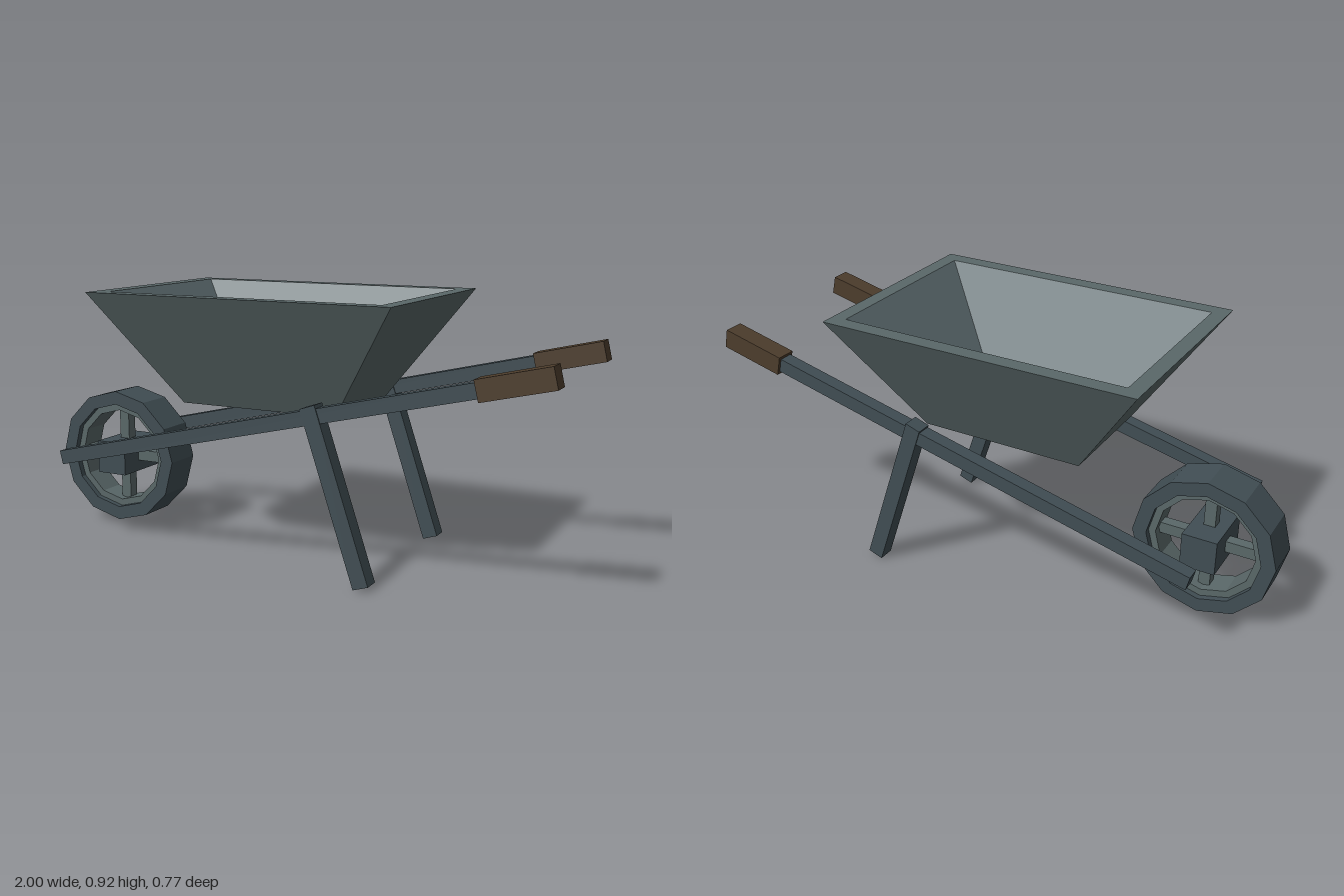
import * as THREE from 'three';

const mat = (name, color) => {
  const m = new THREE.MeshStandardMaterial({ color });
  m.name = name;
  return m;
};

// Faceted copy of a geometry with one normal per face
function faceted(geo) {
  const g = geo.index ? geo.toNonIndexed() : geo;
  g.computeVertexNormals();
  return g;
}

// Four corners of a horizontal rectangle, running counter-clockwise seen from above
const rect = (x0, x1, z, y) => [[x0, y, z], [x1, y, z], [x1, y, -z], [x0, y, -z]];

// Skin successive rectangles, optionally capping the first or last one
function loft(loops, capFirst, capLast) {
  const pos = [];
  const quad = (a, b, c, d) => pos.push(...a, ...b, ...c, ...a, ...c, ...d);
  for (let i = 0; i < loops.length - 1; i++) {
    for (let k = 0; k < 4; k++) {
      const n = (k + 1) % 4;
      quad(loops[i][k], loops[i][n], loops[i + 1][n], loops[i + 1][k]);
    }
  }
  if (capFirst) quad(...[...loops[0]].reverse());
  if (capLast) quad(...loops[loops.length - 1]);
  const g = new THREE.BufferGeometry();
  g.setAttribute('position', new THREE.Float32BufferAttribute(pos, 3));
  return faceted(g);
}

// Twelve-sided ring with a rectangular section, axle along z
function ring(inner, outer, halfWidth) {
  const section = [[inner, -halfWidth], [outer, -halfWidth], [outer, halfWidth], [inner, halfWidth], [inner, -halfWidth]]
    .map(([r, y]) => new THREE.Vector2(r, y));
  return faceted(new THREE.LatheGeometry(section, 12).rotateX(Math.PI / 2));
}

export function createModel() {
  const trayMetal = mat('tray metal', 0x5a6869);
  const innerMetal = mat('tray lining', 0x5f6e72);
  const frameMetal = mat('dark frame metal', 0x414e54);
  const wood = mat('grip wood', 0x4d3d2c);

  const model = new THREE.Group();
  model.name = 'wheelbarrow';
  const add = (parent, name, geo, material, x = 0, y = 0, z = 0, angle = 0) => {
    const m = new THREE.Mesh(geo, material);
    m.name = name;
    m.position.set(x, y, z);
    m.rotation.z = angle;
    parent.add(m);
    return m;
  };

  // Tray: flared shell with a flat lip, and its lining
  const lip = rect(-0.57, 0.45, 0.33, 0.917);
  add(model, 'tray', loft([rect(-0.355, 0.232, 0.2, 0.528), rect(-0.625, 0.502, 0.385, 0.917), lip], true, false), trayMetal);
  add(model, 'trayLining', loft([lip, rect(-0.3, 0.18, 0.145, 0.55)], false, true), innerMetal);

  // Wheel: tyre, recessed rim, crossed spokes and square hub
  const wheel = new THREE.Group();
  wheel.name = 'wheel';
  wheel.position.set(-0.75, 0.265, 0);
  model.add(wheel);
  add(wheel, 'tyre', ring(0.2, 0.25, 0.072), frameMetal);
  add(wheel, 'rim', ring(0.175, 0.205, 0.05), trayMetal);
  add(wheel, 'spokeUpright', new THREE.BoxGeometry(0.04, 0.36, 0.04), trayMetal);
  add(wheel, 'spokeLevel', new THREE.BoxGeometry(0.36, 0.04, 0.04), trayMetal);
  add(wheel, 'hub', new THREE.BoxGeometry(0.122, 0.122, 0.216), frameMetal);

  // Shafts, grips and legs on both sides
  const tilt = 0.234;
  for (const [side, s] of [['front', 1], ['back', -1]]) {
    const z = 0.308 * s;
    add(model, side + 'Shaft', new THREE.BoxGeometry(1.66, 0.05, 0.05), frameMetal, 0.004, 0.501, z, tilt);
    add(model, side + 'Grip', new THREE.BoxGeometry(0.241, 0.07, 0.07), wood, 0.873, 0.708, z, tilt);
    add(model, side + 'Leg', new THREE.BoxGeometry(0.056, 0.605, 0.057), frameMetal, 0.294, 0.296, z, 0.325);
  }

  return model;
}
